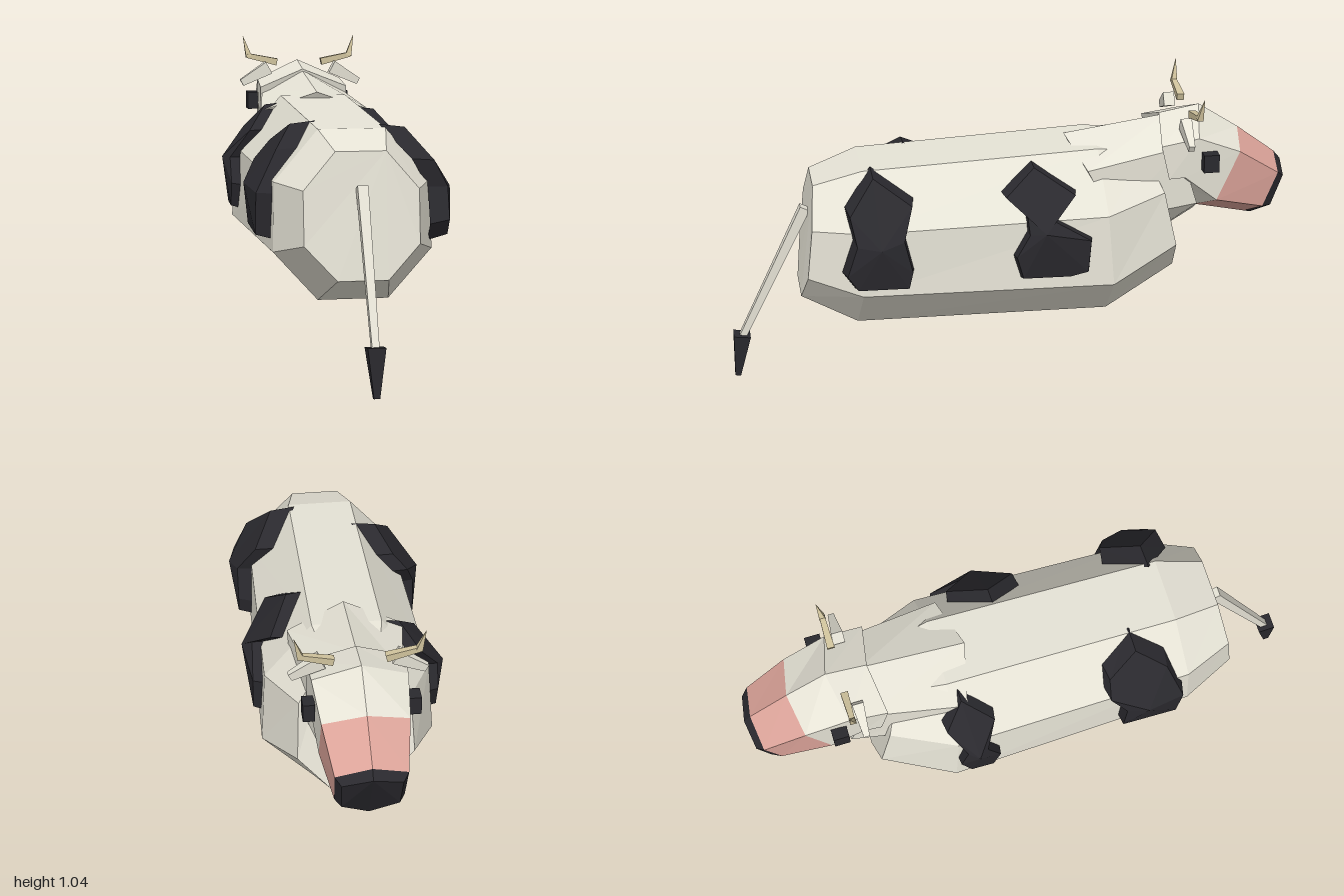
import * as THREE from 'three';

const mat = (color) => new THREE.MeshStandardMaterial({ color, flatShading: true });

function meshFrom(name, pos, material) {
  const g = new THREE.BufferGeometry();
  g.setAttribute('position', new THREE.Float32BufferAttribute(pos, 3));
  g.computeVertexNormals();
  const m = new THREE.Mesh(g, material);
  m.name = name;
  return m;
}

// Half section (x >= 0, top to bottom) mirrored into a closed ring
const ring = (half) => [...half, ...half.filter((p) => p[0] > 0).reverse().map(([x, y, z]) => [-x, y, z])];

// Skin between half sections ordered from +z to -z
function loft(name, halves, material, capTail = true, capNose = true) {
  const rings = halves.map(ring), n = rings[0].length, pos = [];
  const tri = (a, b, c) => pos.push(...a, ...b, ...c);
  for (let k = 0; k + 1 < rings.length; k++) {
    const a = rings[k], b = rings[k + 1];
    for (let i = 0; i < n; i++) {
      const j = (i + 1) % n;
      tri(a[i], a[j], b[i]);
      tri(a[j], b[j], b[i]);
    }
  }
  const first = rings[0], last = rings[rings.length - 1];
  for (let i = 1; i + 1 < n; i++) {
    if (capTail) tri(first[0], first[i + 1], first[i]);
    if (capNose) tri(last[0], last[i], last[i + 1]);
  }
  return meshFrom(name, pos, material);
}

// Four-sided tapered bar from a to b, w0 and w1 are the end widths
function bar(name, a, b, w0, w1, material, depth = 1) {
  const p = new THREE.Vector3(...a), q = new THREE.Vector3(...b), d = q.clone().sub(p);
  const g = new THREE.CylinderGeometry(w1 * Math.SQRT1_2, w0 * Math.SQRT1_2, d.length(), 4);
  g.rotateY(Math.PI / 4).scale(1, 1, depth);
  const m = new THREE.Mesh(g, material);
  m.name = name;
  m.quaternion.setFromUnitVectors(new THREE.Vector3(0, 1, 0), d.normalize());
  m.position.copy(p.add(q).multiplyScalar(0.5));
  return m;
}

// Half-width of the flank at height y
const flank = (y) => (y > 0.65 ? 0.28 - (y - 0.65) * 0.85 : 0.28);

// Raised patch on the +x flank: outline of [z, y], centre c
function spot(name, outline, c, material) {
  const pos = [], n = outline.length;
  const at = (p, k, out) => {
    const z = c[0] + (p[0] - c[0]) * k, y = c[1] + (p[1] - c[1]) * k;
    return [flank(y) + out, y + Math.max(0, y - 0.66) * out, z];
  };
  const mid = at(c, 1, 0.065);
  for (let i = 0; i < n; i++) {
    const p = outline[i], q = outline[(i + 1) % n];
    const a = at(p, 1, -0.03), b = at(q, 1, -0.03), e = at(p, 0.9, 0.04), f = at(q, 0.9, 0.04);
    pos.push(...a, ...b, ...e, ...b, ...f, ...e, ...e, ...f, ...mid);
  }
  return meshFrom(name, pos, material);
}

export function createModel() {
  const root = new THREE.Group();
  root.name = 'cow';
  const white = mat(0xe6e3d6), black = mat(0x2a292e), pink = mat(0xdba399), horn = mat(0xcfc29c);

  // Octagonal barrel body
  root.add(loft('body', [
    [[0.085, 0.76, 0.7], [0.193, 0.635, 0.715], [0.193, 0.455, 0.735], [0.085, 0.34, 0.755]],
    [[0.115, 0.815, 0.53], [0.265, 0.642, 0.54], [0.27, 0.408, 0.55], [0.12, 0.243, 0.56]],
    [[0.12, 0.845, -0.3], [0.285, 0.655, -0.31], [0.3, 0.4, -0.33], [0.12, 0.225, -0.34]],
    [[0.09, 0.82, -0.47], [0.19, 0.69, -0.53], [0.2, 0.49, -0.575], [0.09, 0.365, -0.59]],
  ], white));

  // Six-sided neck sunk into the shoulders
  root.add(loft('neck', [
    [[0, 0.865, -0.2], [0.2, 0.795, -0.25], [0.19, 0.6, -0.35], [0, 0.4, -0.45]],
    [[0, 0.915, -0.57], [0.15, 0.84, -0.59], [0.14, 0.62, -0.66], [0, 0.54, -0.68]],
  ], white));

  // Head: skull, muzzle and nose share their sections
  const brow = [[0, 0.85, -0.835], [0.145, 0.81, -0.81], [0.145, 0.63, -0.73], [0, 0.555, -0.69]];
  const lip = [[0, 0.745, -0.975], [0.12, 0.71, -0.96], [0.115, 0.58, -0.91], [0, 0.515, -0.875]];
  root.add(loft('skull', [
    [[0, 0.92, -0.545], [0.165, 0.855, -0.52], [0.165, 0.73, -0.55], [0, 0.68, -0.56]],
    [[0, 0.945, -0.69], [0.16, 0.875, -0.655], [0.16, 0.73, -0.61], [0, 0.66, -0.58]],
    brow,
  ], white, true, false));
  root.add(loft('muzzle', [brow, lip], pink, false, false));
  root.add(loft('nose', [
    lip,
    [[0, 0.715, -1], [0.1, 0.69, -0.985], [0.095, 0.575, -0.945], [0, 0.51, -0.9]],
  ], black, false, true));

  // Horns, ears and eyes on both sides
  for (const side of [1, -1]) {
    const g = new THREE.Group();
    g.name = side > 0 ? 'leftHeadParts' : 'rightHeadParts';
    g.scale.x = side;
    g.add(bar('hornBase', [0.086, 0.94, -0.645], [0.2, 0.966, -0.645], 0.026, 0.018, horn));
    g.add(bar('hornTip', [0.194, 0.962, -0.645], [0.215, 1.04, -0.655], 0.022, 0.001, horn));
    g.add(bar('ear', [0.122, 0.922, -0.612], [0.226, 0.865, -0.612], 0.05, 0.026, white, 0.8));
    const eye = new THREE.Mesh(new THREE.BoxGeometry(0.04, 0.065, 0.055), black);
    eye.name = 'eye';
    eye.position.set(0.175, 0.79, -0.695);
    g.add(eye);
    root.add(g);
  }

  // Dark patches on the flanks
  const spots = {
    leftRearSpot: [1, [0.49, 0.61], [[0.5, 0.83], [0.36, 0.74], [0.4, 0.63], [0.37, 0.5], [0.385, 0.435],
      [0.58, 0.44], [0.62, 0.5], [0.58, 0.62], [0.6, 0.72]]],
    leftFrontSpot: [1, [-0.08, 0.63], [[-0.06, 0.83], [-0.21, 0.74], [-0.12, 0.665], [-0.26, 0.58],
      [-0.25, 0.45], [-0.18, 0.435], [0.005, 0.44], [0.03, 0.53], [-0.02, 0.62], [-0.015, 0.7], [0.06, 0.745]]],
    rightRearSpot: [-1, [0.37, 0.62], [[0.36, 0.83], [0.24, 0.76], [0.23, 0.69], [0.29, 0.6], [0.28, 0.45],
      [0.5, 0.44], [0.52, 0.6], [0.47, 0.75]]],
    rightFrontSpot: [-1, [-0.25, 0.63], [[-0.27, 0.83], [-0.35, 0.74], [-0.29, 0.64], [-0.32, 0.54], [-0.28, 0.44],
      [-0.19, 0.435], [-0.16, 0.53], [-0.21, 0.63], [-0.16, 0.74]]],
  };
  for (const [name, [side, c, outline]] of Object.entries(spots)) {
    // outlines run from the top toward -z; reverse when drawn the other way round
    const area = outline.reduce((s, p, i) => {
      const q = outline[(i + 1) % outline.length];
      return s + p[0] * q[1] - q[0] * p[1];
    }, 0);
    const m = spot(name, area > 0 ? outline.slice().reverse() : outline, c, black);
    m.scale.x = side;
    root.add(m);
  }

  // Tail with a dark tuft
  root.add(bar('tail', [0, 0.15, 0.97], [0, 0.645, 0.725], 0.024, 0.036, white));
  root.add(bar('tailTuft', [0, 0.003, 0.99], [0, 0.165, 0.968], 0.02, 0.06, black));
  return root;
}
